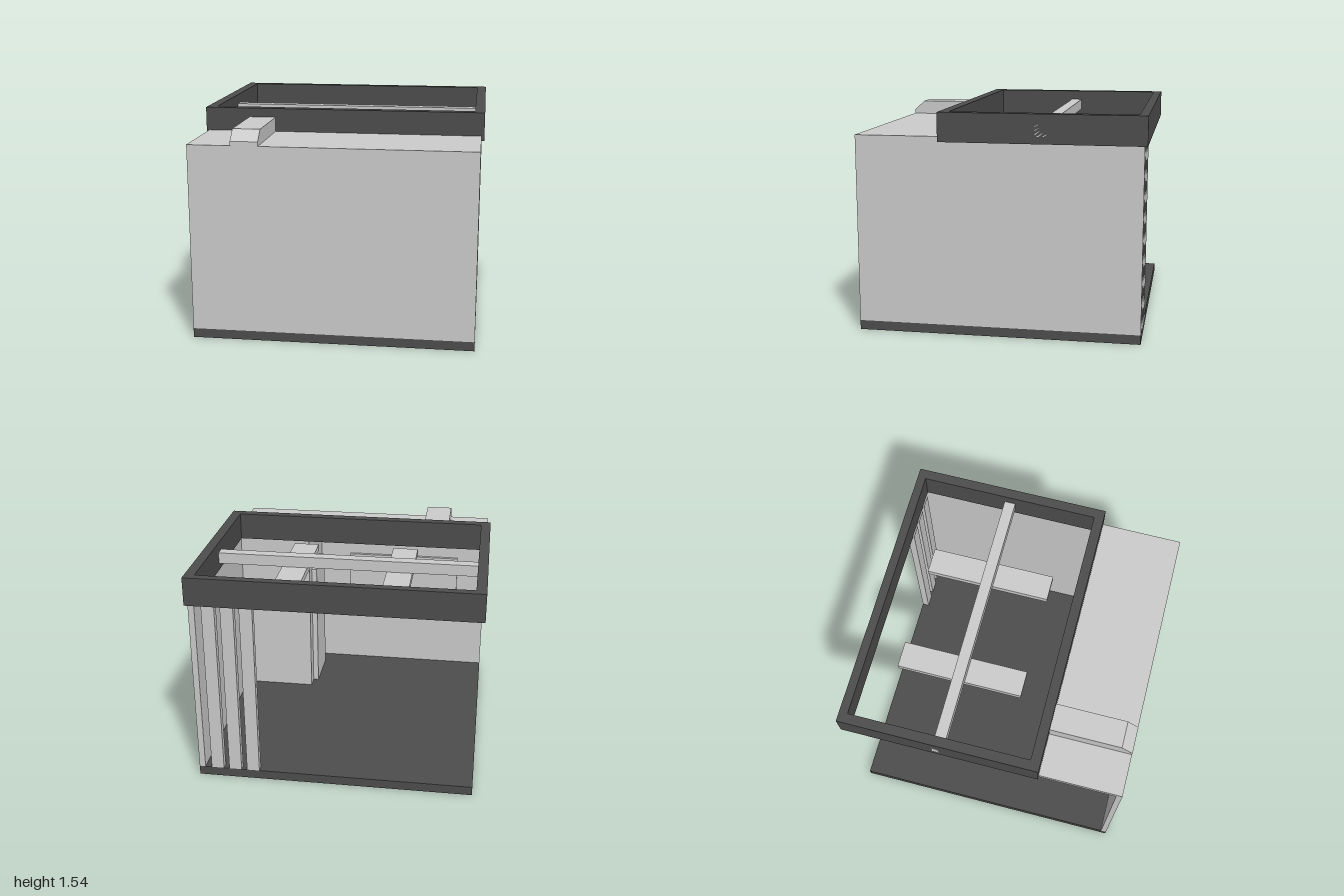
import * as THREE from 'three';

export function createModel() {
  const model = new THREE.Group();
  const grey = new THREE.MeshStandardMaterial({ color: 0xcccccc });
  const dark = new THREE.MeshStandardMaterial({ color: 0x4d4d4d });

  // Box given by its lower and upper limits on each axis
  function block(name, [x0, x1], [y0, y1], [z0, z1], material = grey) {
    const mesh = new THREE.Mesh(new THREE.BoxGeometry(x1 - x0, y1 - y0, z1 - z0), material);
    mesh.position.set((x0 + x1) / 2, (y0 + y1) / 2, (z0 + z1) / 2);
    mesh.name = name;
    model.add(mesh);
  }

  const floorY = 0.065, roofY = 1.375;

  // Floor, two walls and the strip of roof along the front
  block('floor', [-0.98, 0.98], [0, floorY], [-0.97, 0.99], dark);
  block('frontWall', [-0.98, 0.98], [floorY, roofY], [0.95, 0.99]);
  block('leftWall', [0.937, 0.98], [floorY, roofY], [-0.97, 0.95]);
  block('roofStrip', [-0.98, 0.937], [1.335, roofY], [0.36, 0.95]);

  // Corner closet with its door, and the panel on the front wall
  block('closet', [0.396, 0.937], [floorY, 1.335], [0.355, 0.95]);
  block('closetDoor', [0.356, 0.396], [floorY, 1.06], [0.455, 0.82]);
  block('wallPanel', [-0.75, 0.15], [0.505, 1.03], [0.925, 0.95]);

  // Upright slats beside the back end of the wall
  for (let i = 0; i < 3; i++) {
    const x = 0.89 - i * 0.13;
    block('slat', [x - 0.09, x], [floorY, 1.35], [-0.97, -0.92]);
  }

  // Hanging frame: rectangle with a rectangular hole
  const outline = new THREE.Shape([[-1, -0.41], [1, -0.41], [1, 0.99], [-1, 0.99]]
    .map(([x, y]) => new THREE.Vector2(x, y)));
  outline.holes.push(new THREE.Path([[-0.93, -0.34], [-0.93, 0.93], [0.93, 0.93], [0.93, -0.34]]
    .map(([x, y]) => new THREE.Vector2(x, y))));
  const frameGeometry = new THREE.ExtrudeGeometry(outline, { depth: 0.2, bevelEnabled: false });
  frameGeometry.rotateX(-Math.PI / 2);
  const frame = new THREE.Mesh(frameGeometry, dark);
  frame.position.y = 1.34;
  frame.name = 'ceilingFrame';
  model.add(frame);

  // Cross beam and the two flat bars below it
  block('crossBeam', [-1, 1], [1.39, 1.47], [-0.33, -0.25]);
  for (const x of [-0.38, 0.373]) {
    block('ceilingBar', [x - 0.092, x + 0.092], [1.345, 1.39], [-0.735, 0.155]);
  }

  // Roof duct with a sloped front end, profile drawn in z and y
  const profile = new THREE.Shape([[0.38, 1.36], [0.99, 1.36], [0.99, 1.405], [0.91, 1.477], [0.38, 1.477]]
    .map(([z, y]) => new THREE.Vector2(z, y)));
  const ductGeometry = new THREE.ExtrudeGeometry(profile, { depth: 0.19, bevelEnabled: false });
  ductGeometry.rotateY(-Math.PI / 2);
  const duct = new THREE.Mesh(ductGeometry, grey);
  duct.position.x = -0.49;
  duct.name = 'roofDuct';
  model.add(duct);

  return model;
}
